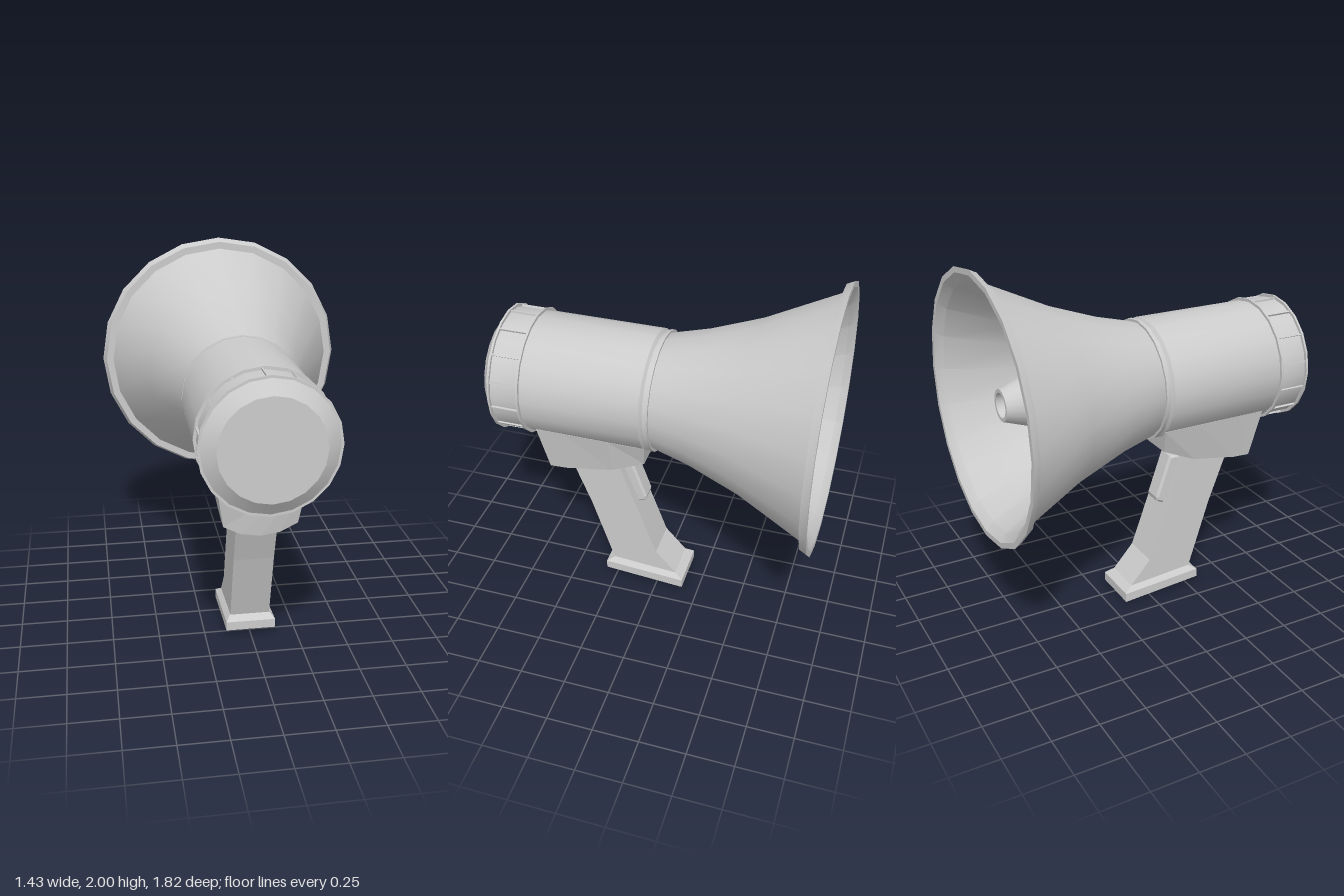
import * as THREE from 'three';
import { toCreasedNormals } from 'three/addons/utils/BufferGeometryUtils.js';

const AXIS_Y = 1.285; // height of the horn's axis
const SIDES = 20;
const smooth = new THREE.MeshStandardMaterial({ color: 0xcccccc });
const twoSided = new THREE.MeshStandardMaterial({ color: 0xcccccc, side: THREE.DoubleSide });

function mesh(name, geometry, material = smooth) {
  const m = new THREE.Mesh(geometry, material);
  m.name = name;
  return m;
}

// Turned part along z: profile points are [radius, z]
function turned(name, profile, material) {
  const g = new THREE.LatheGeometry(profile.map(([r, z]) => new THREE.Vector2(r, z)), SIDES);
  g.rotateX(Math.PI / 2);
  const m = mesh(name, toCreasedNormals(g, 0.42), material);
  m.position.y = AXIS_Y;
  return m;
}

// Side outline of [z, y] points, extruded across x
function sideExtrude(name, outline, width, bevel = 0) {
  const shape = new THREE.Shape(outline.map(([z, y]) => new THREE.Vector2(z, y)));
  const depth = width - 2 * bevel;
  const g = new THREE.ExtrudeGeometry(shape, {
    depth, bevelEnabled: bevel > 0, bevelSize: bevel, bevelThickness: bevel, bevelOffset: -bevel, bevelSegments: 1,
  });
  g.translate(0, 0, -depth / 2);
  g.rotateY(-Math.PI / 2);
  return mesh(name, g);
}

// Flat-faced solid through closed rings of [x, y, z]
function loft(name, rings) {
  const pos = [];
  const tri = (...pts) => pts.forEach((p) => pos.push(...p));
  const n = rings[0].length;
  for (let i = 0; i < rings.length - 1; i++) {
    for (let j = 0; j < n; j++) {
      const k = (j + 1) % n;
      const [lo, hi] = [rings[i], rings[i + 1]];
      tri(lo[j], lo[k], hi[k]);
      tri(lo[j], hi[k], hi[j]);
    }
  }
  const first = rings[0], last = rings[rings.length - 1];
  for (let j = 1; j < n - 1; j++) {
    tri(first[0], first[j + 1], first[j]);
    tri(last[0], last[j], last[j + 1]);
  }
  const g = new THREE.BufferGeometry();
  g.setAttribute('position', new THREE.Float32BufferAttribute(pos, 3));
  g.computeVertexNormals();
  return mesh(name, g);
}

export function createModel() {
  const model = new THREE.Group();
  model.name = 'megaphone';

  // Flared horn: inner wall, rolled rim, outer wall
  model.add(turned('horn', [
    [0.36, -0.25], [0.46, -0.51], [0.64, -0.87], [0.685, -0.91], [0.715, -0.91],
    [0.695, -0.87], [0.655, -0.87], [0.47, -0.49], [0.365, -0.2], [0.315, -0.01],
  ], twoSided));

  // Inner speaker cone with hollow tip and the disc behind it
  model.add(turned('innerCone', [
    [0, -0.73], [0.06, -0.73], [0.066, -0.79], [0.085, -0.79], [0.26, -0.28], [0.372, -0.28],
  ], twoSided));

  // Main barrel with collar and groove
  model.add(turned('barrel', [
    [0.31, -0.012], [0.329, -0.012], [0.329, 0.01], [0.312, 0.012],
    [0.312, 0.022], [0.33, 0.036], [0.33, 0.69],
  ]));

  // Rear grip band between two thin rings, closed by a bevelled cap
  model.add(turned('endCap', [
    [0.32, 0.688], [0.346, 0.688], [0.346, 0.7], [0.33, 0.7], [0.33, 0.85], [0.346, 0.85],
    [0.346, 0.862], [0.333, 0.862], [0.262, 0.913], [0, 0.913],
  ]));
  const ribs = new THREE.Group();
  ribs.name = 'gripRibs';
  ribs.position.y = AXIS_Y;
  const ribCount = 14;
  for (let i = 0; i < ribCount; i++) {
    const a = ((i + 0.6) / ribCount) * Math.PI * 2;
    const rib = mesh('gripRib', new THREE.BoxGeometry(0.02, 0.009, 0.16));
    rib.position.set(0.328 * Math.cos(a), 0.328 * Math.sin(a), 0.775);
    rib.rotation.z = a;
    ribs.add(rib);
  }
  model.add(ribs);

  // Housing under the barrel: [zTop, zBottom, yEdge, yMiddle], back to front
  const sections = [
    [0.035, 0.05, 0.92, 0.92], [0.24, 0.24, 0.835, 0.835],
    [0.5, 0.5, 0.79, 0.775], [0.65, 0.6, 0.785, 0.725],
  ];
  model.add(loft('housing', sections.map(([zt, zb, ye, ym]) => {
    const yq = ye + (ym - ye) * 0.75;
    return [
      [0.233, 1.055, zt], [-0.233, 1.055, zt], [-0.19, ye, zb], [-0.1, yq, zb],
      [0, ym, zb], [0.1, yq, zb], [0.19, ye, zb],
    ];
  })));

  // Slanted handle with flared heel
  model.add(sideExtrude('handle', [
    [0.53, 0.85], [0.395, 0.5], [0.268, 0.105], [-0.11, 0.078], [0.012, 0.215], [0.245, 0.86],
  ], 0.216));

  // Trigger
  model.add(sideExtrude('trigger', [
    [0.24, 0.8], [0.205, 0.81], [0.168, 0.81], [0.085, 0.57], [0.09, 0.545], [0.135, 0.525],
  ], 0.11, 0.012));

  // Foot plate with chamfered top: [halfWidth, zFront, yFront, zBack, yBack]
  const plate = [
    [0.135, 0.31, 0.036, -0.155, 0.0],
    [0.135, 0.31, 0.085, -0.155, 0.052],
    [0.11, 0.268, 0.11, -0.112, 0.08],
  ];
  model.add(loft('footPlate', plate.map(([w, zf, yf, zb, yb]) => [
    [w, yf, zf], [w, yb, zb], [-w, yb, zb], [-w, yf, zf],
  ])));

  return model;
}
